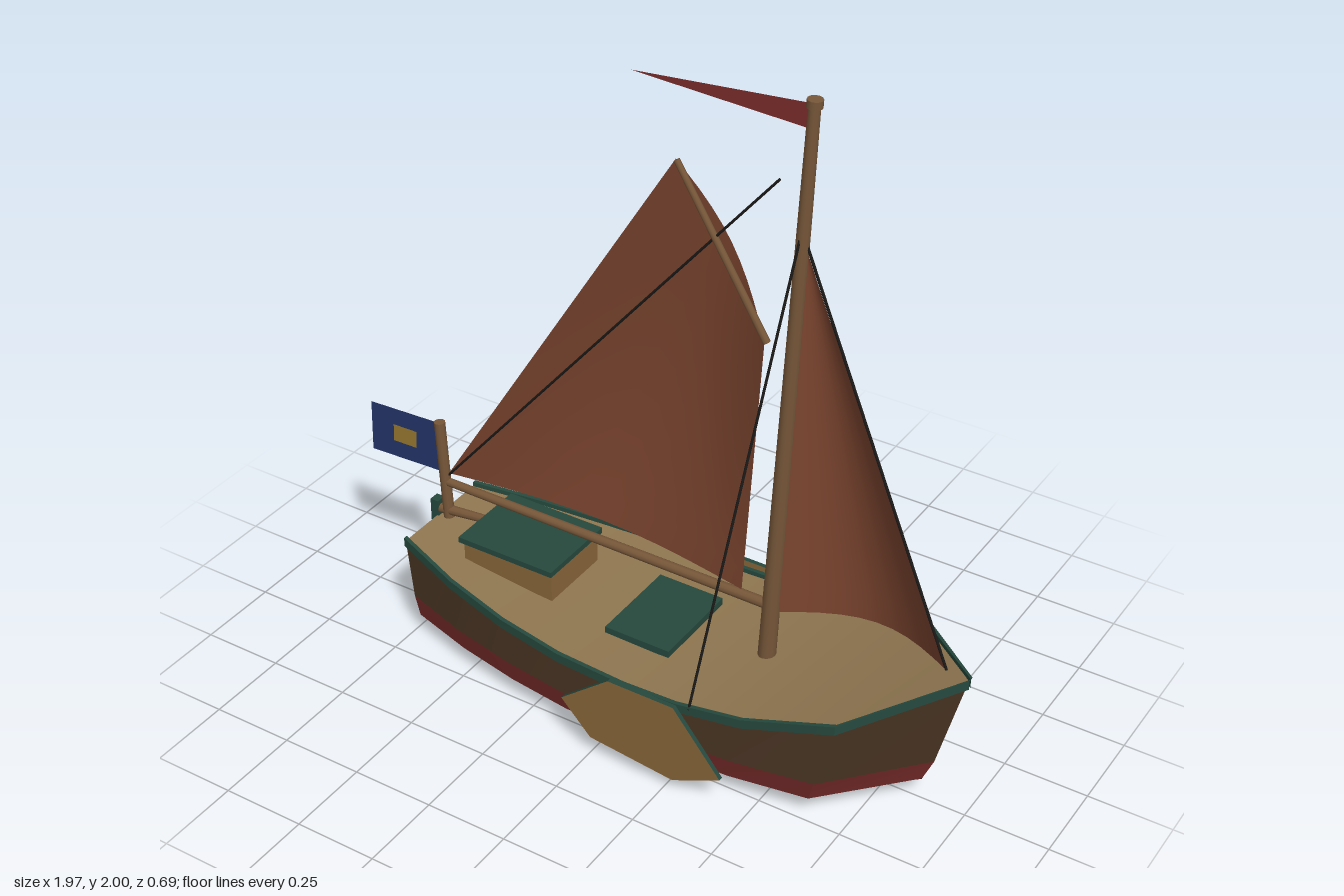
import * as THREE from 'three';
import { toCreasedNormals } from 'three/addons/utils/BufferGeometryUtils.js';

const V = (x, y, z = 0) => new THREE.Vector3(x, y, z);
const paint = (color, side = THREE.FrontSide) => new THREE.MeshStandardMaterial({ color, side });
const BROWN = 0x4c3725, RED = 0x7c2e2c, BLACK = 0x171615, GREEN = 0x26493e, DECK = 0x8f7650;
const WOOD = 0x775739, CANVAS = 0x7e4630, ROPE = 0x1c1a18, TAN = 0x8a673b;

// Hull stations from stern to bow: x, half width, sheer height, keel height
const STATIONS = [
  [-0.75, 0.17, 0.347, 0.06], [-0.54, 0.235, 0.317, 0.032], [-0.33, 0.28, 0.294, 0.014],
  [-0.12, 0.308, 0.281, 0.004], [0.1, 0.317, 0.277, 0], [0.27, 0.317, 0.283, 0.004],
  [0.47, 0.306, 0.308, 0.014], [0.73, 0.264, 0.372, 0.042], [0.98, 0.003, 0.458, 0.066],
];

// Point of a station at a level: 0 keel, 1 bilge, 2 chine, 3 waterline, 4 sheer
function hullPoint([x, w, top, keel], level) {
  const aft = [0.965, 0.965, 0.965, 0.975, 1][level];
  const fore = [0.885, 0.885, 0.885, 0.918, 1][level];
  const width = [0, 0.64, 0.91, 0.98, 1][level];
  const y = [keel, keel + (0.07 - keel) * 0.4, 0.07, 0.145, top][level];
  return V(x * (x < 0 ? aft : fore), y, w * width);
}
const flip = (p) => V(p.x, p.y, -p.z);

function quadMesh(name, quads, color) {
  const pos = [];
  for (const [a, b, c, d] of quads) for (const p of [a, b, c, a, c, d]) pos.push(p.x, p.y, p.z);
  const geo = new THREE.BufferGeometry();
  geo.setAttribute('position', new THREE.Float32BufferAttribute(pos, 3));
  return named(name, toCreasedNormals(geo, 0.4), paint(color));
}

function named(name, geo, material) {
  const mesh = new THREE.Mesh(geo, material);
  mesh.name = name;
  return mesh;
}

// Colour band of the hull, with its share of the transom
function hullBand(name, from, to, color) {
  const quads = [];
  for (let l = from; l < to; l++) {
    for (let i = 0; i < STATIONS.length - 1; i++) {
      const a = hullPoint(STATIONS[i], l), b = hullPoint(STATIONS[i + 1], l);
      const c = hullPoint(STATIONS[i + 1], l + 1), d = hullPoint(STATIONS[i], l + 1);
      quads.push([a, b, c, d], [d, c, b, a].map(flip));
    }
    const lo = hullPoint(STATIONS[0], l), hi = hullPoint(STATIONS[0], l + 1);
    quads.push([lo, hi, flip(hi), flip(lo)]);
  }
  return quadMesh(name, quads, color);
}

function deck() {
  const edge = STATIONS.map((s) => hullPoint(s, 4).add(V(0, -0.008, 0)));
  const quads = edge.slice(1).map((b, i) => [edge[i], b, flip(b), flip(edge[i])]);
  return quadMesh('deck', quads, DECK);
}

// Square-section rail following the sheer on both sides
function rail() {
  const ring = (s) => {
    const p = hullPoint(s, 4), bow = s[0] > 0.9 ? 0.004 : 0;
    return [[-0.022, 0.006], [0.006, 0.006], [0.006, -0.007], [-0.022, -0.007]]
      .map(([y, z]) => V(p.x + bow, p.y + y, Math.max(p.z + z, 0)));
  };
  const quads = [];
  for (let i = 0; i < STATIONS.length - 1; i++) {
    const a = ring(STATIONS[i]), b = ring(STATIONS[i + 1]);
    for (let k = 0; k < 4; k++) {
      const n = (k + 1) % 4, q = [a[k], b[k], b[n], a[n]];
      quads.push(q, q.map(flip).reverse());
    }
  }
  const end = ring(STATIONS[0]);
  quads.push([...end], end.map(flip).reverse());
  return quadMesh('rail', quads, GREEN);
}

// Round bar between two points
function spar(name, from, to, r0, r1, color, sides = 10) {
  const dir = to.clone().sub(from);
  const mesh = named(name, new THREE.CylinderGeometry(r1, r0, dir.length(), sides), paint(color));
  mesh.position.copy(from).add(to).multiplyScalar(0.5);
  mesh.quaternion.setFromUnitVectors(V(0, 1), dir.normalize());
  return mesh;
}

function box(name, x0, x1, y0, y1, depth, color) {
  const mesh = named(name, new THREE.BoxGeometry(x1 - x0, y1 - y0, depth), paint(color));
  mesh.position.set((x0 + x1) / 2, (y0 + y1) / 2, 0);
  return mesh;
}

// Sail blended between four corners, bellied towards -z
function sail(name, footL, footR, headL, headR, belly) {
  const geo = new THREE.PlaneGeometry(1, 1, 10, 12);
  const pos = geo.attributes.position;
  for (let i = 0; i < pos.count; i++) {
    const u = pos.getX(i) + 0.5, v = pos.getY(i) + 0.5;
    const p = footL.clone().lerp(footR, u).lerp(headL.clone().lerp(headR, u), v);
    pos.setXYZ(i, p.x, p.y, -Math.sin(Math.PI * u) * belly(v));
  }
  geo.computeVertexNormals();
  return named(name, geo, paint(CANVAS, THREE.DoubleSide));
}

function flatPanel(name, points, color, z = 0) {
  const shape = new THREE.Shape(points.map(([x, y]) => new THREE.Vector2(x, y)));
  const mesh = named(name, new THREE.ShapeGeometry(shape), paint(color, THREE.DoubleSide));
  mesh.position.z = z;
  return mesh;
}

export function createModel() {
  const boat = new THREE.Group();
  boat.name = 'sailingBoat';

  // Hull
  boat.add(hullBand('hullBottom', 0, 2, BLACK), hullBand('waterlineStripe', 2, 3, RED),
    hullBand('hullTopsides', 3, 4, BROWN), deck(), rail());

  // Deck fittings
  boat.add(box('cabin', -0.575, -0.27, 0.27, 0.375, 0.235, TAN));
  boat.add(box('cabinRoof', -0.585, -0.262, 0.375, 0.393, 0.262, GREEN));
  boat.add(box('hatch', -0.07, 0.14, 0.255, 0.292, 0.29, GREEN));

  // Steering gear
  boat.add(box('rudder', -0.772, -0.745, 0.06, 0.39, 0.032, GREEN));
  boat.add(spar('tiller', V(-0.76, 0.358), V(-0.58, 0.378), 0.016, 0.013, WOOD));

  // Leeboards with green edges
  const outline = [[-0.085, 0.17], [0.01, 0.07], [0.28, 0.04], [0.43, 0.11], [0.28, 0.295], [0.07, 0.295]];
  const boardGeo = new THREE.ExtrudeGeometry(
    new THREE.Shape(outline.map(([x, y]) => new THREE.Vector2(x, y))), { depth: 0.014, bevelEnabled: false });
  boardGeo.translate(0, 0, -0.007);
  for (const [side, z] of [['Left', 0.339], ['Right', -0.339]]) {
    const board = named('leeboard' + side, boardGeo, [paint(TAN), paint(GREEN)]);
    board.position.z = z;
    boat.add(board);
  }

  // Mast and spars
  boat.add(spar('mast', V(0.37, 0.27), V(0.454, 1.985), 0.026, 0.016, WOOD, 12));
  boat.add(spar('mastCap', V(0.454, 1.978), V(0.455, 2), 0.021, 0.021, WOOD, 12));
  boat.add(spar('boom', V(0.37, 0.459), V(-0.72, 0.463), 0.016, 0.013, WOOD));
  boat.add(spar('gaff', V(0.342, 1.285), V(0.067, 1.732), 0.011, 0.009, WOOD));

  // Sails
  boat.add(sail('mainsail', V(-0.71, 0.495), V(0.285, 0.475), V(0.065, 1.735), V(0.335, 1.285),
    (v) => 0.055 + 0.028 * Math.sin(Math.PI * v)));
  boat.add(sail('jib', V(0.4, 0.445), V(0.91, 0.465), V(0.446, 1.59), V(0.45, 1.58),
    (v) => 0.092 * (1 - v)));

  // Rigging
  const rope = (name, a, b) => boat.add(spar(name, a, b, 0.004, 0.004, ROPE, 6));
  rope('forestay', V(0.44, 1.62), V(0.912, 0.465));
  rope('toppingLift', V(-0.71, 0.49), V(0.365, 1.76));
  rope('shroudLeft', V(0.44, 1.68), V(0.313, 0.285, 0.318));
  rope('shroudRight', V(0.44, 1.68), V(0.313, 0.285, -0.318));

  // Pennant, flagstaff and flag
  boat.add(flatPanel('pennant', [[-0.07, 1.945], [0.45, 1.918], [0.45, 1.987]], RED));
  boat.add(spar('flagstaff', V(-0.717, 0.34), V(-0.735, 0.665), 0.017, 0.017, WOOD));
  boat.add(flatPanel('flag', [[-0.99, 0.482], [-0.735, 0.492], [-0.74, 0.66], [-0.985, 0.65]], 0x24376b));
  for (const z of [-0.004, 0.004]) {
    boat.add(flatPanel('flagPatch', [[-0.905, 0.543], [-0.822, 0.545], [-0.82, 0.602], [-0.903, 0.6]], 0x9a7a32, z));
  }
  return boat;
}
